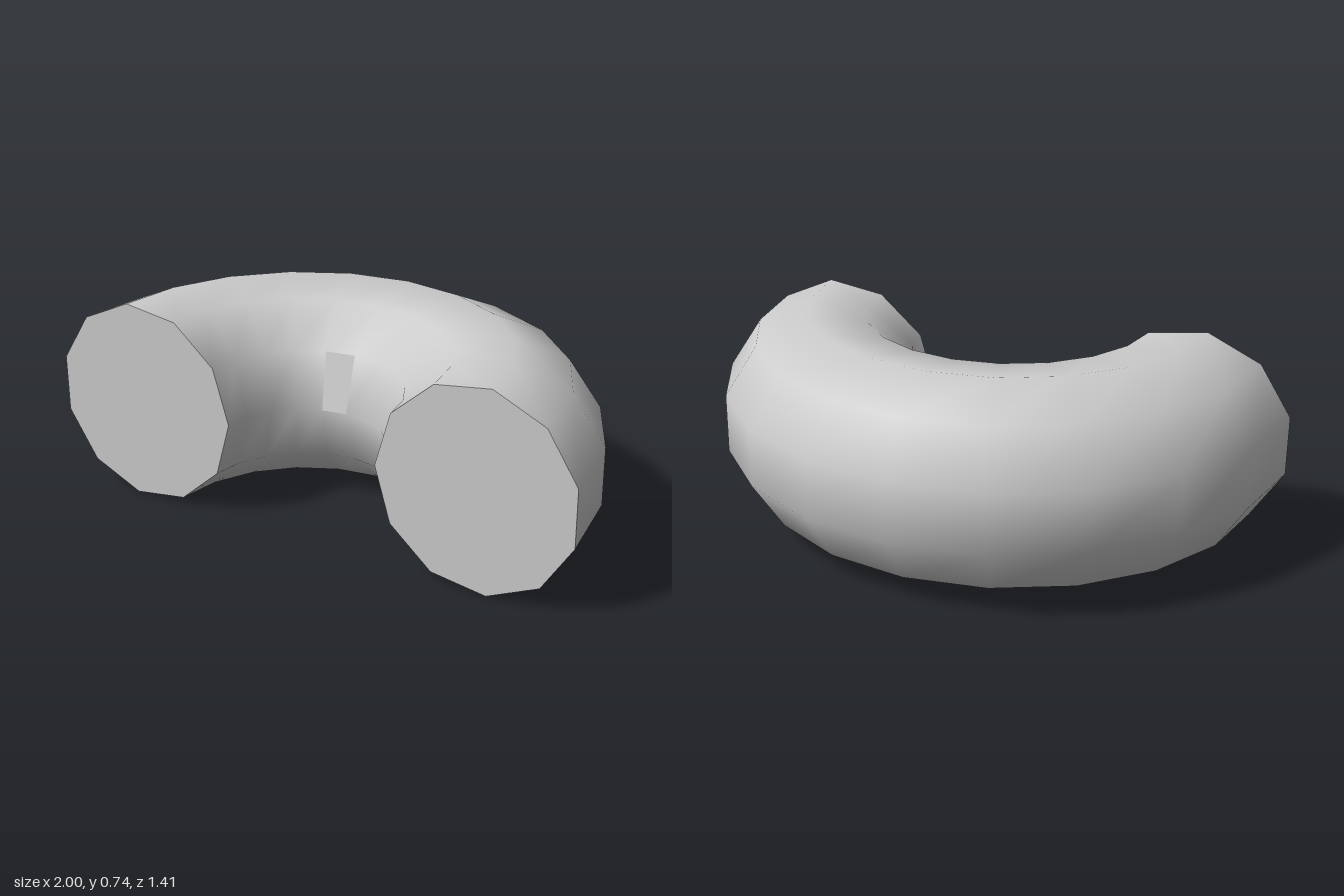
import * as THREE from 'three';

const RING = 0.676, TUBE = 0.376, SIDES = 11, STEPS = 10;

// Point on the half ring: arc step i, tube corner j (0 is the innermost corner)
function ringPoint(i, j, r = TUBE) {
  const u = i / STEPS * Math.PI, v = j / SIDES * Math.PI * 2;
  const d = RING - r * Math.cos(v);
  return [d * Math.cos(u), d * Math.sin(u), r * Math.sin(v)];
}

export function createModel() {
  const group = new THREE.Group();
  group.name = 'halfRing';
  const material = new THREE.MeshStandardMaterial({ color: 0xcccccc });

  // Lay each part flat, turn it and put it in place
  const add = (geometry, name, mat = material) => {
    geometry.rotateX(-Math.PI / 2).rotateY(21.5 * Math.PI / 180).translate(0.035, 0.3725, 0.32);
    const mesh = new THREE.Mesh(geometry, mat);
    mesh.name = name;
    group.add(mesh);
  };

  // Smooth tube; the negative radius turns the section so a corner points inward
  add(new THREE.TorusGeometry(RING, -TUBE, SIDES, STEPS, Math.PI), 'tube');

  // Flat end caps, one corner pointing inward
  for (const s of [1, -1]) {
    const cap = new THREE.CircleGeometry(TUBE, SIDES, s > 0 ? Math.PI : 0);
    cap.rotateX(Math.PI / 2).translate(s * RING, 0, 0);
    add(cap, s > 0 ? 'leftEndCap' : 'rightEndCap');
  }

  // Single flat facet on the inner wall
  const r = TUBE + 0.002;
  const facet = new THREE.BufferGeometry();
  const corners = [[5, 0], [6, 0], [6, 1], [5, 1]].flatMap(([i, j]) => ringPoint(i, j, r));
  facet.setAttribute('position', new THREE.Float32BufferAttribute(corners, 3));
  facet.setIndex([0, 2, 1, 0, 3, 2]);
  facet.computeVertexNormals();
  const a = new THREE.Vector3().fromBufferAttribute(facet.attributes.normal, 0);
  // Face the middle of the ring
  if (a.dot(new THREE.Vector3(...ringPoint(5.5, 0)).setZ(0)) > 0) {
    facet.setIndex([0, 1, 2, 0, 2, 3]);
    facet.computeVertexNormals();
  }
  add(facet, 'innerFacet', new THREE.MeshStandardMaterial({ color: 0xcccccc, flatShading: true }));

  return group;
}
